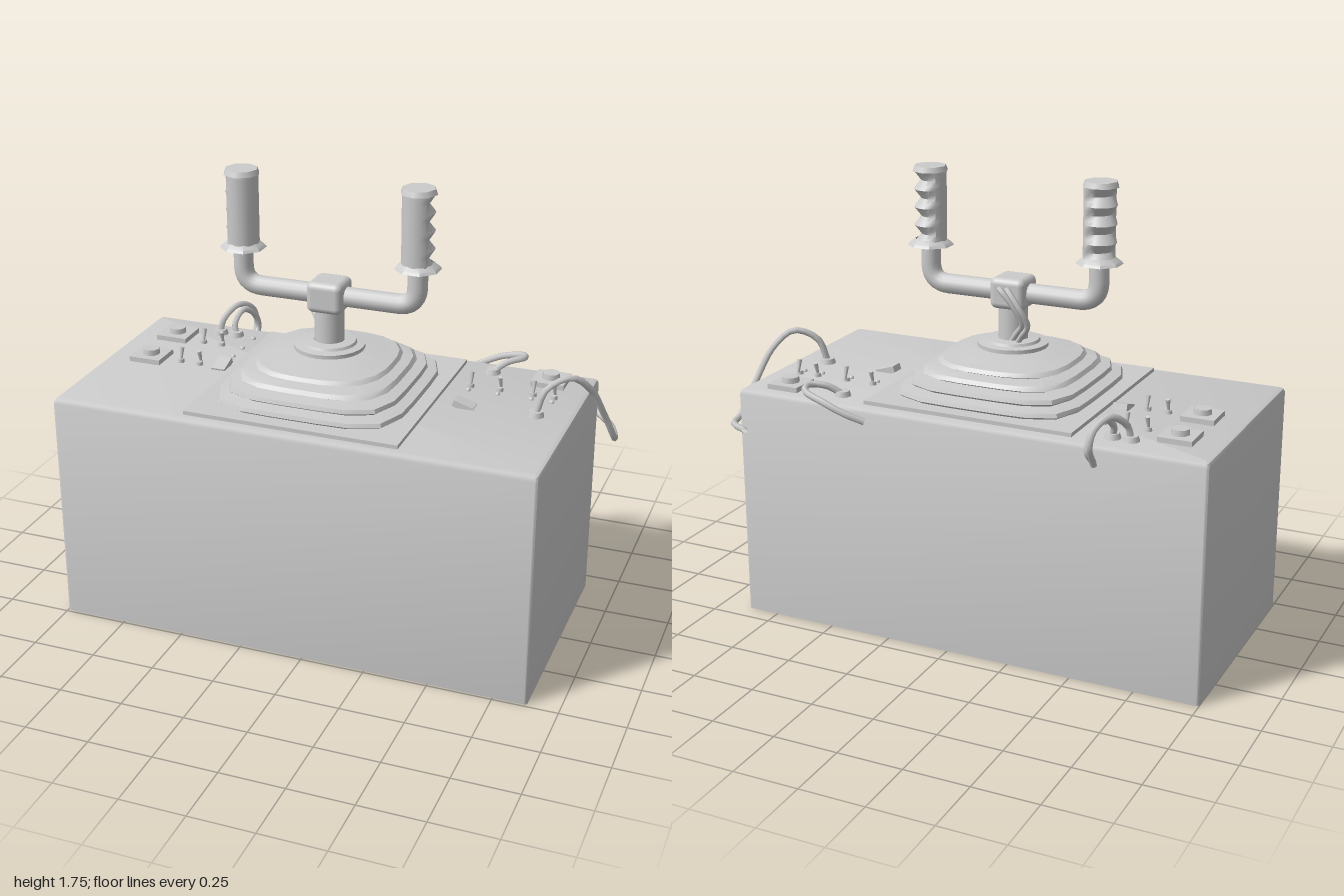
import * as THREE from 'three';
import { toCreasedNormals } from 'three/addons/utils/BufferGeometryUtils.js';
import { RoundedBoxGeometry } from 'three/addons/geometries/RoundedBoxGeometry.js';

const material = new THREE.MeshStandardMaterial({ color: 0xcccccc, side: THREE.DoubleSide });
const CX = -0.06, CZ = 0.03; // axis of the control column
const DECK = 0.92;           // height of the case top

function add(parent, name, geometry, x = 0, y = 0, z = 0) {
  const mesh = new THREE.Mesh(geometry, material);
  mesh.name = name;
  mesh.position.set(x, y, z);
  parent.add(mesh);
  return mesh;
}

// Skin through closed cross-sections listed bottom to top, closed at the top only
function loft(rings, crease = 0.6) {
  const n = rings[0].length, pos = [], index = [];
  rings.forEach(r => r.forEach(p => pos.push(...p)));
  for (let j = 0; j < rings.length - 1; j++)
    for (let i = 0; i < n; i++) {
      const a = j * n + i, b = j * n + (i + 1) % n;
      index.push(a, a + n, b, b, a + n, b + n);
    }
  const top = (rings.length - 1) * n;
  for (let i = 1; i < n - 1; i++) index.push(top, top + i + 1, top + i);
  const g = new THREE.BufferGeometry();
  g.setAttribute('position', new THREE.Float32BufferAttribute(pos, 3));
  g.setIndex(index);
  return toCreasedNormals(g, crease);
}

function ring(count, y, radiusAt) {
  return Array.from({ length: count }, (_, i) => {
    const a = i / count * Math.PI * 2, r = radiusAt(a);
    return [r * Math.cos(a), y, r * Math.sin(a)];
  });
}

// Rectangle with rounded corners
function rectRing(w, d, y, r) {
  const out = [];
  for (let q = 0; q < 4; q++)
    for (let k = 0; k < 4; k++) {
      const a = (q + k / 3) * Math.PI / 2;
      const sx = q === 0 || q === 3 ? 1 : -1, sz = q < 2 ? 1 : -1;
      out.push([sx * (w / 2 - r) + r * Math.cos(a), y, sz * (d / 2 - r) + r * Math.sin(a)]);
    }
  return out;
}

function cable(parent, name, points, r = 0.013) {
  const curve = new THREE.CatmullRomCurve3(points.map(p => new THREE.Vector3(...p)));
  return add(parent, name, new THREE.TubeGeometry(curve, 28, r, 6));
}

// Grip with finger grooves facing outward and to the back
function grip(parent, side, x) {
  const g = new THREE.Group();
  g.name = side > 0 ? 'leftGrip' : 'rightGrip';
  g.position.set(x, 0, CZ);
  parent.add(g);
  const facing = Math.atan2(-1, side), rings = [];
  for (let j = 0; j <= 16; j++) {
    const dent = 0.027 * (0.5 - 0.5 * Math.cos(j / 16 * Math.PI * 8));
    rings.push(ring(16, 1.455 + j / 16 * 0.275, a =>
      0.062 - dent * Math.sqrt(Math.max(0, Math.cos(a - facing)))));
  }
  add(g, 'gripSleeve', loft(rings, 0.9));
  const disc = [[0, 1.445], [0.088, 1.445], [0.08, 1.455], [0.06, 1.47]].map(p => new THREE.Vector2(...p));
  add(g, 'gripFlange', toCreasedNormals(new THREE.LatheGeometry(disc, 8, Math.PI / 8), 0.5));
  add(g, 'gripCap', new THREE.CylinderGeometry(0.062, 0.07, 0.02, 8), 0, 1.74, 0);
}

export function createModel() {
  const model = new THREE.Group();
  model.name = 'controlConsole';

  // Case, open underneath
  add(model, 'case', loft([
    rectRing(1.88, 0.92, 0, 0.012), rectRing(1.88, 0.92, DECK - 0.02, 0.012),
    rectRing(1.868, 0.908, DECK - 0.006, 0.012), rectRing(1.84, 0.88, DECK, 0.01),
  ]), -0.06, 0, 0.03);

  // Rubber boot: squarish folds turning round toward the top
  add(model, 'bootPlate', new THREE.BoxGeometry(0.835, 0.015, 0.835), CX, DECK + 0.0075, CZ);
  const folds = [
    [0.93, 0.35, 5], [0.945, 0.37, 5], [0.96, 0.365, 5], [0.968, 0.315, 5],
    [0.98, 0.335, 4.5], [0.995, 0.33, 4.5], [1.003, 0.275, 4], [1.015, 0.3, 4],
    [1.03, 0.29, 3.6], [1.038, 0.235, 3.2], [1.048, 0.26, 3], [1.062, 0.25, 2.8],
    [1.07, 0.19, 2.4], [1.085, 0.1, 2],
  ];
  add(model, 'boot', loft(folds.map(([y, h, n]) => ring(24, y, a =>
    h / Math.pow(Math.abs(Math.cos(a)) ** n + Math.abs(Math.sin(a)) ** n, 1 / n)))), CX, 0, CZ);

  // Collar and column
  const collar = [[0.1, 1.07], [0.1, 1.09], [0.135, 1.093], [0.135, 1.108], [0.105, 1.112],
    [0.1, 1.122], [0.06, 1.125]].map(p => new THREE.Vector2(...p));
  add(model, 'collar', toCreasedNormals(new THREE.LatheGeometry(collar, 24), 0.5), CX, 0, CZ);
  add(model, 'column', new THREE.CylinderGeometry(0.056, 0.056, 0.18, 20), CX, 1.17, CZ);
  add(model, 'hub', new RoundedBoxGeometry(0.14, 0.12, 0.14, 3, 0.025), CX, 1.302, CZ);

  // Handlebar with two upturned ends
  const half = 0.345, bend = 0.075, barY = 1.3;
  const V = (x, y) => new THREE.Vector3(CX + x, y, CZ);
  const bar = new THREE.CurvePath();
  bar.add(new THREE.LineCurve3(V(-half, 1.46), V(-half, barY + bend)));
  bar.add(new THREE.QuadraticBezierCurve3(V(-half, barY + bend), V(-half, barY), V(bend - half, barY)));
  bar.add(new THREE.LineCurve3(V(bend - half, barY), V(half - bend, barY)));
  bar.add(new THREE.QuadraticBezierCurve3(V(half - bend, barY), V(half, barY), V(half, barY + bend)));
  bar.add(new THREE.LineCurve3(V(half, barY + bend), V(half, 1.46)));
  add(model, 'handlebar', new THREE.TubeGeometry(bar, 60, 0.038, 14));
  for (const s of [-1, 1]) grip(model, s, CX + s * half);

  // Square push buttons
  for (const [x, z] of [[-0.83, -0.24], [-0.83, 0], [0.715, -0.32]]) {
    add(model, 'buttonPlate', new THREE.BoxGeometry(0.128, 0.02, 0.128), x, DECK + 0.01, z);
    add(model, 'button', new THREE.CylinderGeometry(0.033, 0.036, 0.022, 8), x, DECK + 0.03, z);
  }

  // Toggle switches: nut and tilted lever
  const toggles = [[-0.7, -0.21], [-0.62, -0.21], [-0.7, 0], [-0.62, 0],
    [0.44, -0.17], [0.555, -0.17], [0.685, -0.17], [0.765, -0.17]];
  toggles.forEach(([x, z], i) => {
    add(model, 'toggleNut', new THREE.CylinderGeometry(0.012, 0.014, 0.014, 6), x, DECK + 0.007, z);
    const lever = add(model, 'toggleLever', new THREE.CylinderGeometry(0.009, 0.005, 0.05, 6), x, DECK + 0.034, z - 0.006);
    lever.rotation.x = i % 2 ? 0.3 : -0.3;
  });

  // Indicator lamps
  const lamps = [[-0.53, -0.32], [-0.53, -0.21], [-0.53, -0.12],
    [0.44, -0.135], [0.555, -0.135], [0.685, -0.135], [0.765, -0.135]];
  for (const [x, z] of lamps)
    add(model, 'lamp', new THREE.SphereGeometry(0.011, 8, 4, 0, Math.PI * 2, 0, Math.PI / 2), x, DECK, z);

  // Tilted rocker switches
  for (const [x, z, w, d, rx, rz] of [[-0.53, -0.015, 0.055, 0.08, 0.3, 0], [0.47, 0.01, 0.08, 0.055, 0, -0.3]]) {
    const rocker = add(model, 'rocker', new THREE.BoxGeometry(w, 0.025, d), x, DECK + 0.006, z);
    rocker.rotation.set(rx, 0, rz);
  }

  // Cable sockets
  for (const [x, z] of [[-0.68, -0.33], [-0.61, -0.33], [0.48, -0.33], [0.74, 0]])
    add(model, 'socket', new THREE.CylinderGeometry(0.026, 0.032, 0.02, 12), x, DECK + 0.01, z);

  // Loose cables
  cable(model, 'sideCable', [[0.74, 0.925, 0], [0.77, 1.02, -0.02], [0.85, 1.06, -0.07], [0.91, 1, -0.13],
    [0.955, 0.87, -0.2], [0.985, 0.75, -0.27], [0.95, 0.752, -0.37], [0.82, 0.78, -0.49]]);
  cable(model, 'backCable', [[0.48, 0.925, -0.33], [0.53, 0.96, -0.36], [0.585, 0.97, -0.4], [0.57, 0.96, -0.45],
    [0.48, 0.935, -0.472], [0.4, 0.9, -0.462], [0.33, 0.87, -0.435]]);
  cable(model, 'pairCable', [[-0.68, 0.925, -0.33], [-0.67, 0.98, -0.345], [-0.63, 1.025, -0.41],
    [-0.595, 0.99, -0.47], [-0.585, 0.93, -0.485], [-0.585, 0.85, -0.44]]);
  cable(model, 'pairCable', [[-0.61, 0.925, -0.33], [-0.62, 0.97, -0.345], [-0.605, 1.01, -0.4],
    [-0.58, 0.97, -0.455], [-0.575, 0.91, -0.475], [-0.58, 0.86, -0.435]]);

  // Wires from the hub down into the boot
  for (const d of [0, 0.03])
    cable(model, 'hubWire', [[CX + d, 1.32, -0.03], [-0.085 + d, 1.325, -0.07], [-0.135 + d, 1.27, -0.085 + d / 2],
      [-0.16 + d, 1.2, -0.06 + d / 2], [-0.125 + d, 1.15, -0.035 + d / 2], [-0.09 + d, 1.1, -0.02]], 0.011);

  return model;
}
